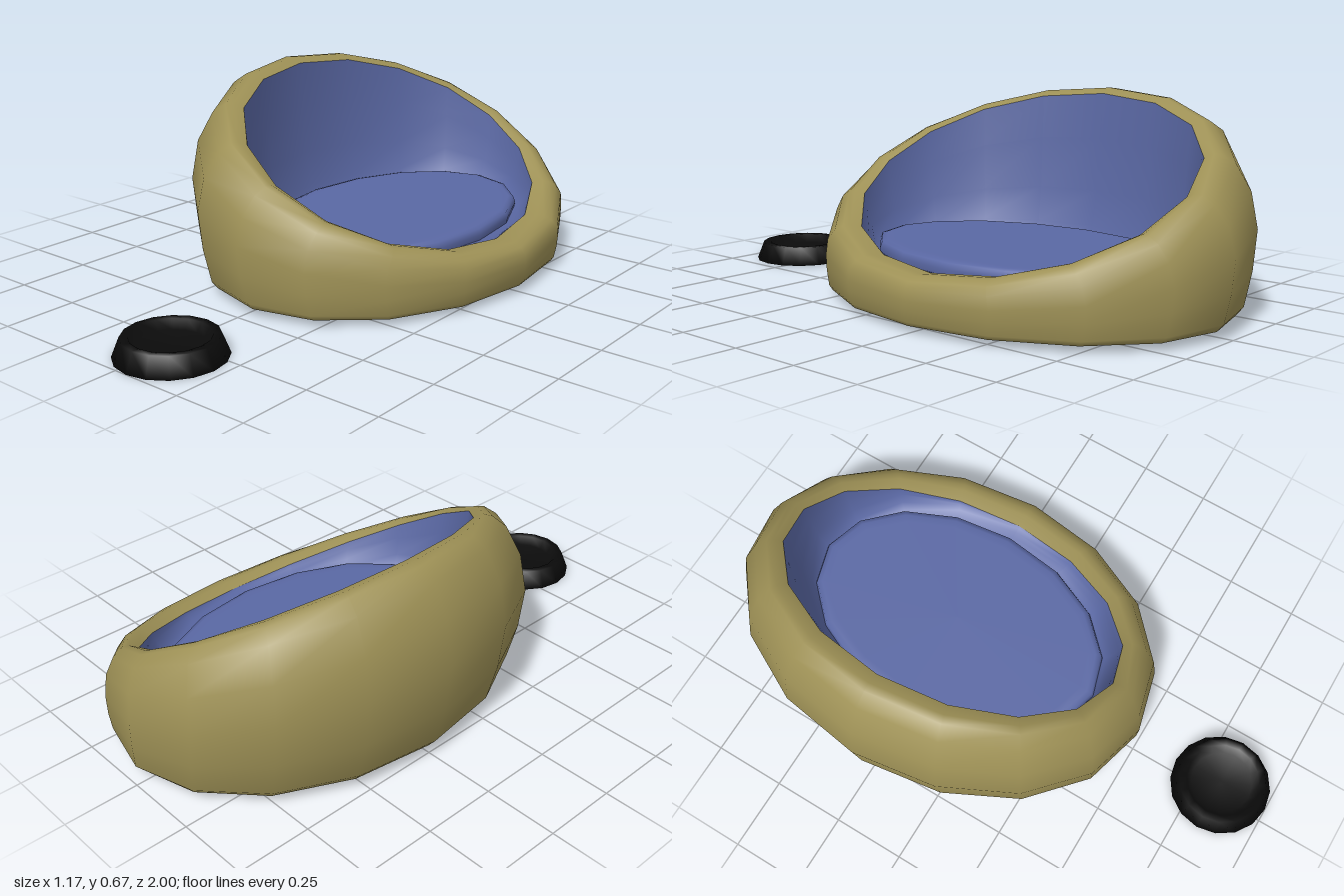
import * as THREE from 'three';

const SEGMENTS = 16;
const CENTRE_Z = -0.25;

// Skin through tilted elliptical rings: [xMin, yAtXMin, xMax, yAtXMax, zRadius]
function skinRings(rings) {
  const positions = [], index = [];
  for (const [x0, y0, x1, y1, rz] of rings) {
    for (let j = 0; j < SEGMENTS; j++) {
      const t = (j / SEGMENTS) * Math.PI * 2;
      const k = (Math.cos(t) + 1) / 2;
      positions.push(x0 + (x1 - x0) * k, y0 + (y1 - y0) * k, CENTRE_Z + rz * Math.sin(t));
    }
  }
  for (let i = 0; i < rings.length - 1; i++) {
    for (let j = 0; j < SEGMENTS; j++) {
      const n = (j + 1) % SEGMENTS;
      const a = i * SEGMENTS + j, b = i * SEGMENTS + n;
      const c = a + SEGMENTS, d = b + SEGMENTS;
      index.push(a, c, b, b, c, d);
    }
  }
  const g = new THREE.BufferGeometry();
  g.setAttribute('position', new THREE.Float32BufferAttribute(positions, 3));
  g.setIndex(index);
  g.computeVertexNormals();
  return g;
}

export function createModel() {
  const group = new THREE.Group();
  const material = (name, color) => {
    const m = new THREE.MeshStandardMaterial({ color });
    m.name = name;
    return m;
  };
  const tan = material('tan fabric', 0x9e9156);
  const blue = material('blue lining', 0x5a68a4);
  const black = material('black bowl', 0x0b0b0b);

  const add = (name, geometry, mat) => {
    const mesh = new THREE.Mesh(geometry, mat);
    mesh.name = name;
    group.add(mesh);
    return mesh;
  };

  // Padded outer shell, from the underside up over the slanted rim
  add('bedShell', skinRings([
    [0.03, 0, 0.03, 0, 0],
    [-0.25, 0.003, 0.33, 0.003, 0.4],
    [-0.44, 0.014, 0.52, 0.012, 0.66],
    [-0.50, 0.03, 0.565, 0.022, 0.715],
    [-0.525, 0.06, 0.574, 0.035, 0.732],
    [-0.563, 0.2, 0.582, 0.07, 0.745],
    [-0.585, 0.37, 0.585, 0.1, 0.75],
    [-0.56, 0.52, 0.583, 0.135, 0.733],
    [-0.505, 0.63, 0.565, 0.155, 0.695],
    [-0.455, 0.665, 0.54, 0.167, 0.66],
    [-0.425, 0.668, 0.515, 0.17, 0.638],
    [-0.385, 0.65, 0.47, 0.165, 0.61],
  ]), tan);

  // Inner wall
  add('lining', skinRings([
    [-0.385, 0.65, 0.47, 0.165, 0.61],
    [-0.375, 0.5, 0.462, 0.16, 0.6],
    [-0.36, 0.32, 0.445, 0.155, 0.583],
    [-0.335, 0.2, 0.425, 0.15, 0.56],
    [-0.315, 0.15, 0.405, 0.145, 0.535],
  ]), blue);

  // Flat cushion with a small rounded edge
  add('cushion', skinRings([
    [-0.315, 0.14, 0.405, 0.14, 0.545],
    [-0.32, 0.165, 0.41, 0.165, 0.55],
    [-0.313, 0.185, 0.403, 0.185, 0.543],
    [-0.295, 0.19, 0.385, 0.19, 0.525],
    [-0.27, 0.19, 0.36, 0.19, 0.5],
    [0.045, 0.19, 0.045, 0.19, 0],
  ]), blue);

  // Food bowl with a shallow recess
  const profile = [[0, 0], [0.175, 0], [0.15, 0.063], [0.125, 0.063], [0.105, 0.035], [0, 0.035]];
  const bowl = add('foodBowl', new THREE.LatheGeometry(
    profile.map(([x, y]) => new THREE.Vector2(x, y)), SEGMENTS), black);
  bowl.position.set(0.045, 0, 0.825);

  return group;
}
